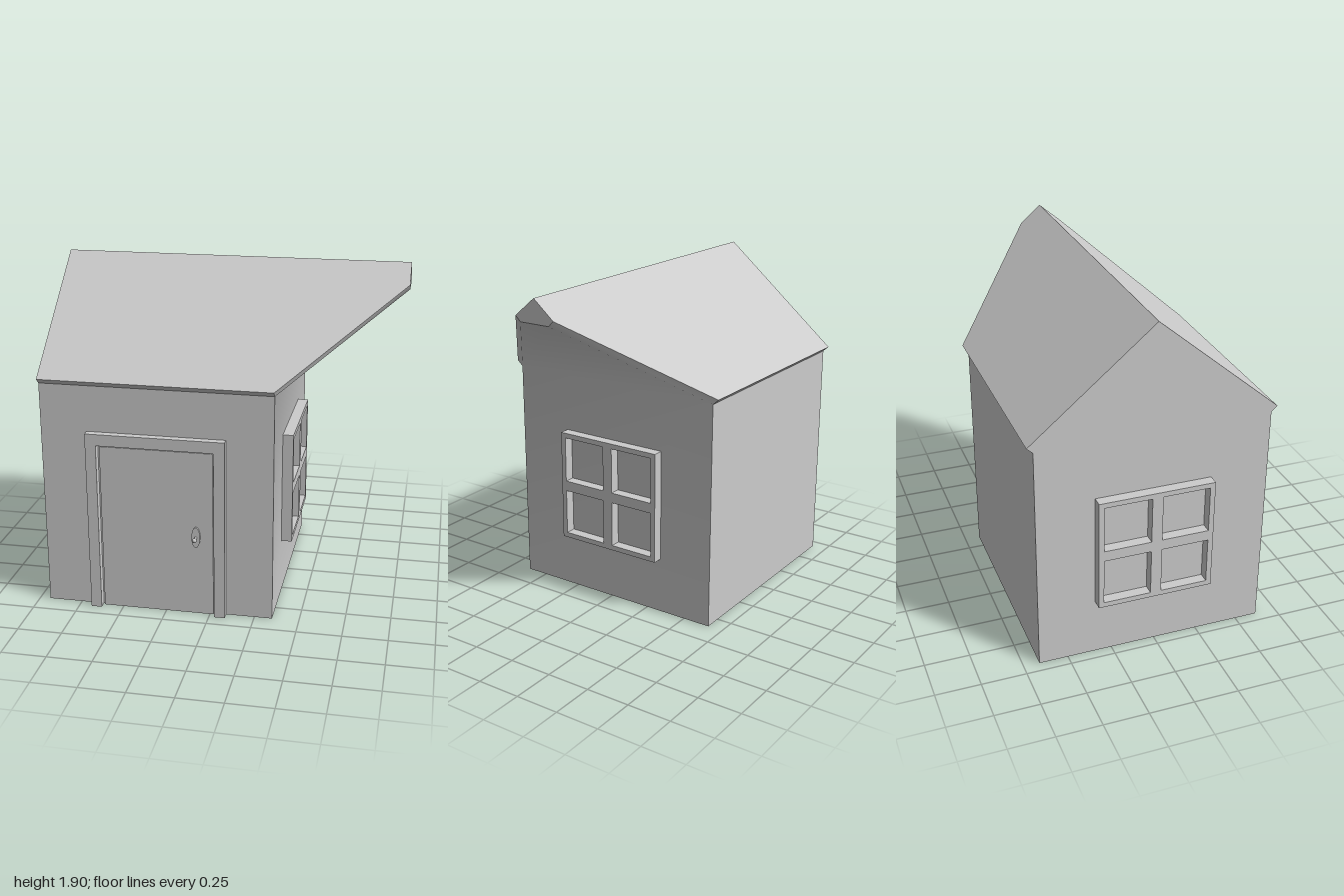
import * as THREE from 'three';

const material = new THREE.MeshStandardMaterial({ color: 0xcccccc });
const MID = -0.017; // z of the ridge

function add(parent, name, geometry, x = 0, y = 0, z = 0) {
  const mesh = new THREE.Mesh(geometry, material);
  mesh.name = name;
  mesh.position.set(x, y, z);
  parent.add(mesh);
  return mesh;
}

// Fan-triangulated polygons sharing corners; corners run anticlockwise seen from outside
function shell(corners, faces, smooth) {
  const index = [];
  for (const f of faces) for (let i = 1; i < f.length - 1; i++) index.push(f[0], f[i], f[i + 1]);
  let g = new THREE.BufferGeometry();
  g.setAttribute('position', new THREE.Float32BufferAttribute(corners.flat(), 3));
  g.setIndex(index);
  if (!smooth) g = g.toNonIndexed();
  g.computeVertexNormals();
  return g;
}

function rectangle(Type, x0, y0, x1, y1) {
  const p = new Type();
  p.moveTo(x0, y0).lineTo(x1, y0).lineTo(x1, y1).lineTo(x0, y1).closePath();
  return p;
}

const extrude = (shape, depth) => new THREE.ExtrudeGeometry(shape, { depth, bevelEnabled: false, curveSegments: 16 });

// Four-pane window frame, facing +z before it is turned
function windowGeometry() {
  const s = rectangle(THREE.Shape, -0.323, -0.323, 0.323, 0.323);
  for (const cx of [-0.162, 0.162])
    for (const cy of [-0.162, 0.162])
      s.holes.push(rectangle(THREE.Path, cx - 0.132, cy - 0.132, cx + 0.132, cy + 0.132));
  return extrude(s, 0.06);
}

export function createModel() {
  const house = new THREE.Group();
  house.name = 'house';

  // Roof cross-section: ridge, front eave, front soffit, back soffit, back eave
  const section = (x, eaveZ, eaveY, soffitZ, soffitY) => [
    [x, 1.903, MID], [x, eaveY, MID + eaveZ], [x, soffitY, MID + soffitZ],
    [x, soffitY, MID - soffitZ], [x, eaveY, MID - eaveZ],
  ];
  const foot = (x) => [[x, 0, MID + 0.645], [x, 0, MID - 0.645]];
  const corners = [
    ...section(-0.94, 0.68, 1.33, 0.647, 1.3), // 0-4
    ...section(0.35, 0.68, 1.33, 0.647, 1.3), // 5-9
    ...section(1.0, 0.12, 1.802, 0.09, 1.772), // 10-14
    ...foot(-0.94), // 15 front, 16 back
    ...foot(0.35), // 17 front, 18 back
  ];

  // Roof slopes and eave undersides
  add(house, 'roof', shell(corners, [
    [0, 1, 6, 11, 10], [0, 10, 14, 9, 4],
    [1, 2, 7, 6], [4, 9, 8, 3],
  ]));

  // Front, back and left walls and the floor
  add(house, 'walls', shell(corners, [
    [15, 17, 7, 2], [18, 16, 3, 8], [16, 15, 2, 3],
    [0, 4, 3, 2, 1], [15, 16, 18, 17],
  ]));

  // Right wall flowing smoothly into the underside of the pointed overhang
  add(house, 'rightWallAndOverhang', shell(corners, [
    [17, 18, 8, 7], [7, 8, 13, 12],
    [7, 12, 11, 6], [8, 9, 14, 13],
  ], true));
  add(house, 'overhangTip', shell(corners, [[10, 11, 12, 13, 14]]));

  // Windows on both end walls
  const pane = windowGeometry();
  add(house, 'rightWindow', pane, 0.35, 0.65, MID).rotation.y = Math.PI / 2;
  add(house, 'leftWindow', pane, -0.94, 0.65, MID - 0.003).rotation.y = -Math.PI / 2;

  // Door frame, an arch of three straight sides
  const frame = new THREE.Shape([
    [-0.68, 0], [-0.62, 0], [-0.62, 0.975], [0.03, 0.975], [0.03, 0], [0.09, 0], [0.09, 1.04], [-0.68, 1.04],
  ].map(([x, y]) => new THREE.Vector2(x, y)));
  add(house, 'doorFrame', extrude(frame, 0.045), 0, 0, 0.628);

  // Door leaf with a narrow gap around it
  add(house, 'door', new THREE.BoxGeometry(0.63, 0.96, 0.014), -0.295, 0.48, 0.634);

  // Oval plate, stem and knob
  const handle = new THREE.Group();
  handle.name = 'doorHandle';
  handle.position.set(-0.075, 0.467, 0.64);
  house.add(handle);
  const oval = new THREE.Shape();
  oval.absellipse(0, 0, 0.024, 0.06, 0, Math.PI * 2);
  add(handle, 'handlePlate', extrude(oval, 0.012));
  add(handle, 'handleStem', new THREE.CylinderGeometry(0.007, 0.007, 0.045, 12), 0, 0, 0.025).rotation.x = Math.PI / 2;
  add(handle, 'knob', new THREE.SphereGeometry(0.013, 16, 12), 0, 0, 0.047);

  return house;
}
